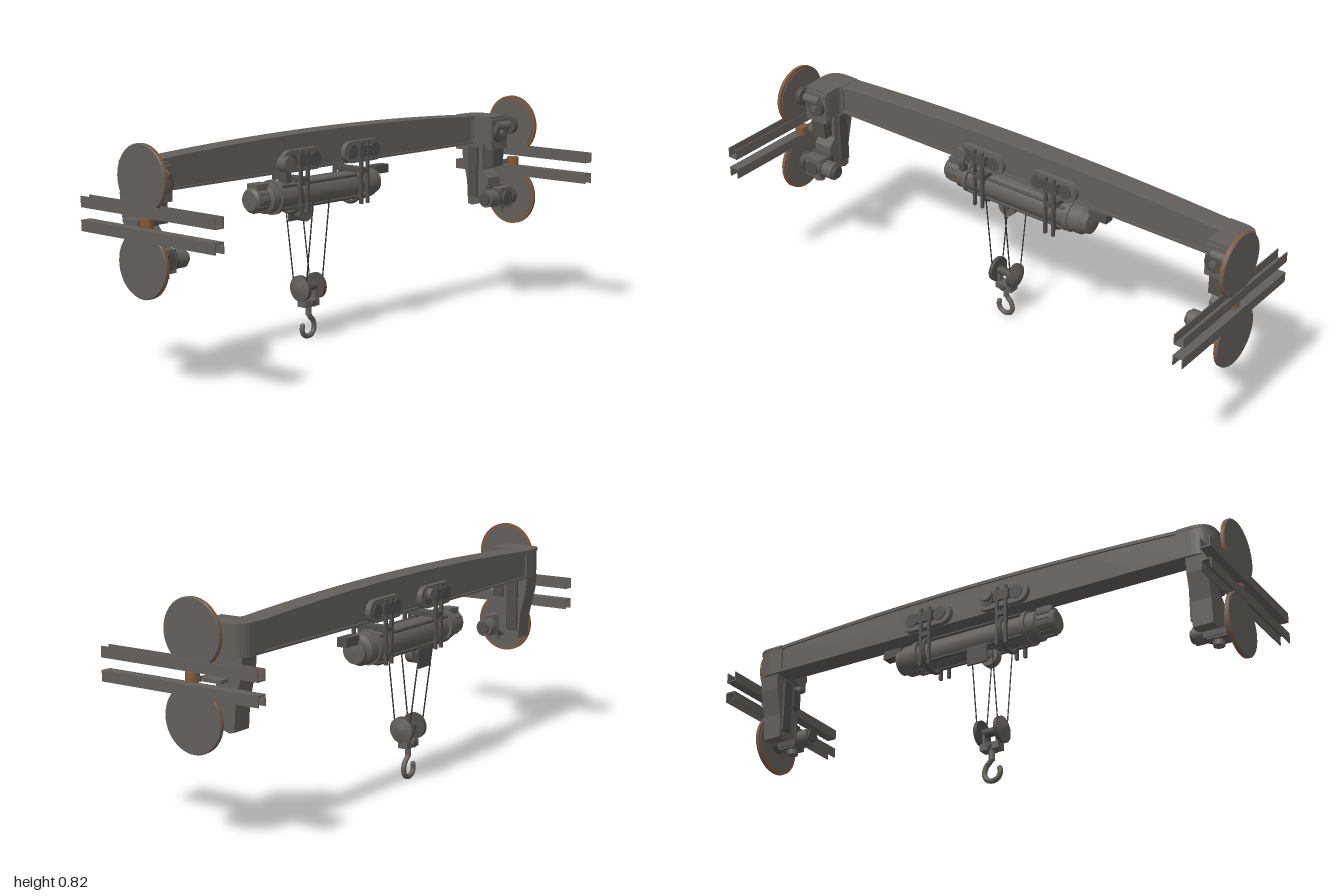
import * as THREE from 'three';

const mat = (name, color, extra = {}) => {
  const m = new THREE.MeshStandardMaterial({ color, ...extra });
  m.name = name;
  return m;
};

export function createModel() {
  const steel = mat('steel grey', 0x625e5a);
  const dark = mat('dark steel', 0x504d4a);
  const brown = mat('worn brown', 0x80583c);
  const black = mat('rope', 0x353433);
  const root = new THREE.Group();
  root.name = 'overheadCrane';

  const add = (parent, name, geo, m, x = 0, y = 0, z = 0) => {
    const mesh = new THREE.Mesh(geo, m);
    mesh.name = name;
    mesh.position.set(x, y, z);
    parent.add(mesh);
    return mesh;
  };
  // box given by its min and max on each axis
  const box = (p, name, m, x0, x1, y0, y1, z0, z1) =>
    add(p, name, new THREE.BoxGeometry(x1 - x0, y1 - y0, z1 - z0), m, (x0 + x1) / 2, (y0 + y1) / 2, (z0 + z1) / 2);
  // cylinder along an axis
  const cyl = (p, name, m, axis, r, len, x, y, z, r2 = r, seg = 28) => {
    const g = new THREE.CylinderGeometry(r2, r, len, seg);
    if (axis === 'x') g.rotateZ(-Math.PI / 2);
    if (axis === 'z') g.rotateX(Math.PI / 2);
    return add(p, name, g, m, x, y, z);
  };
  const extrude = (shape, depth, seg = 12) =>
    new THREE.ExtrudeGeometry(shape, { depth, bevelEnabled: false, curveSegments: seg });
  const group = (name, parent = root) => {
    const g = new THREE.Group();
    g.name = name;
    parent.add(g);
    return g;
  };

  // Arched box girder with flanges
  const arch = x => 0.742 + 0.026 * (1 - (x / 0.84) ** 2);
  const strip = (lowFn, highFn) => {
    const s = new THREE.Shape(), n = 20;
    for (let i = 0; i <= n; i++) {
      const x = -0.84 + 1.68 * i / n;
      i ? s.lineTo(x, lowFn(x)) : s.moveTo(x, lowFn(x));
    }
    for (let i = n; i >= 0; i--) {
      const x = -0.84 + 1.68 * i / n;
      s.lineTo(x, highFn(x));
    }
    return s;
  };
  const girder = group('girder');
  add(girder, 'girderWeb', extrude(strip(() => 0.64, x => arch(x) - 0.01), 0.072), steel, 0, 0, -0.208);
  add(girder, 'topFlange', extrude(strip(x => arch(x) - 0.012, arch), 0.086), steel, 0, 0, -0.215);
  box(girder, 'bottomFlange', steel, -0.84, 0.84, 0.634, 0.642, -0.215, -0.129);

  // Plan of the girder end that turns forward, drawn in x and -z
  const elbow = new THREE.Shape();
  elbow.moveTo(0.83, 0.215);
  elbow.lineTo(0.83, 0.129);
  elbow.quadraticCurveTo(0.84, 0.129, 0.84, 0.11);
  elbow.lineTo(0.84, 0.055);
  elbow.lineTo(0.945, 0.055);
  elbow.lineTo(0.95, 0.15);
  elbow.quadraticCurveTo(0.95, 0.215, 0.885, 0.215);

  // Each end: elbow, wheels, drives, bracket, guide roller and rails
  const endUnit = name => {
    const e = group(name);
    const elbowPart = (n, y, h) => {
      const g = extrude(elbow, h, 8);
      g.rotateX(-Math.PI / 2);
      return add(e, n, g, steel, 0, y, 0);
    };
    elbowPart('girderElbow', 0.634, 0.1);
    elbowPart('elbowCap', 0.734, 0.01).scale.set(1.002, 1, 1.01);

    // tapered bracket down to the lower wheel
    const br = new THREE.Shape();
    br.moveTo(-0.205, 0.64);
    br.lineTo(-0.2, 0.58);
    br.lineTo(-0.176, 0.48);
    br.lineTo(-0.17, 0.39);
    br.lineTo(-0.15, 0.385);
    br.quadraticCurveTo(-0.1, 0.40, -0.07, 0.42);
    br.lineTo(-0.07, 0.50);
    br.lineTo(-0.1, 0.53);
    br.lineTo(-0.1, 0.64);
    const bg = extrude(br, 0.075);
    bg.rotateY(-Math.PI / 2);
    bg.scale(1, 1, 1);
    add(e, 'lowerBracket', bg, steel, 0.93, 0, 0);
    box(e, 'bracketFoot', dark, 0.85, 0.935, 0.39, 0.47, -0.08, -0.055);
    box(e, 'bracketRib', dark, 0.845, 0.855, 0.42, 0.62, -0.165, -0.12);

    for (const [n, y] of [['upper', 0.705], ['lower', 0.424]]) {
      const w = group(n + 'Wheel', e);
      cyl(w, 'wheelTread', brown, 'x', 0.1145, 0.012, 0.972, y, -0.043, 0.1145, 48);
      cyl(w, 'wheelFace', steel, 'x', 0.115, 0.004, 0.979, y, -0.043, 0.112, 48);
      cyl(w, 'wheelInnerFace', steel, 'x', 0.104, 0.004, 0.965, y, -0.043, 0.104, 48);
      cyl(w, 'wheelHub', dark, 'x', 0.035, 0.022, 0.953, y, -0.043);
      cyl(w, 'wheelAxle', steel, 'x', 0.018, 0.09, 0.915, y, -0.043);
    }
    // upper drive housing
    box(e, 'upperGearbox', steel, 0.842, 0.942, 0.615, 0.735, -0.075, -0.045);
    cyl(e, 'upperDriveCover', dark, 'z', 0.036, 0.02, 0.885, 0.68, -0.038);
    cyl(e, 'upperDriveCap', steel, 'z', 0.013, 0.012, 0.885, 0.68, -0.024);
    box(e, 'upperDriveFoot', dark, 0.86, 0.925, 0.545, 0.62, -0.09, -0.05);
    // lower drive motor
    box(e, 'lowerGearbox', steel, 0.86, 0.935, 0.385, 0.465, -0.075, -0.012);
    cyl(e, 'lowerMotor', steel, 'x', 0.033, 0.06, 0.835, 0.424, -0.043);
    cyl(e, 'lowerMotorRing', dark, 'x', 0.038, 0.01, 0.858, 0.424, -0.043);
    cyl(e, 'lowerMotorCap', dark, 'x', 0.024, 0.012, 0.8, 0.424, -0.043);
    cyl(e, 'lowerDriveCover', dark, 'z', 0.028, 0.012, 0.898, 0.424, -0.007);
    cyl(e, 'lowerDrivePlug', steel, 'y', 0.02, 0.02, 0.89, 0.376, -0.043);

    // guide roller running between the rails
    cyl(e, 'guideRoller', brown, 'y', 0.023, 0.033, 0.965, 0.561, -0.033);
    box(e, 'rollerArm', steel, 0.91, 0.968, 0.551, 0.563, -0.15, -0.055);
    box(e, 'rollerPin', dark, 0.958, 0.972, 0.55, 0.566, -0.07, -0.05);

    // channel rails, the upper open upwards and the lower open downwards
    for (const [n, web, y0] of [['upperRail', 0.585, 0.585], ['lowerRail', 0.538, 0.505]]) {
      const r = group(n, e);
      box(r, 'railWeb', steel, 0.961, 1, web, web + 0.005, -0.32, 0.32);
      box(r, 'railInnerWall', steel, 0.961, 0.965, y0, y0 + 0.038, -0.32, 0.32);
      box(r, 'railOuterWall', steel, 0.996, 1, y0, y0 + 0.038, -0.32, 0.32);
    }
    return e;
  };
  endUnit('leftEnd');
  // the same unit turned to the other side by reflection
  endUnit('rightEnd').scale.x = -1;

  // Trolley: an oval frame with two rollers on each face of the girder
  const stadium = (w, h) => {
    const s = new THREE.Shape(), a = w / 2 - h / 2, r = h / 2;
    s.absarc(a, 0, r, -Math.PI / 2, Math.PI / 2);
    s.absarc(-a, 0, r, Math.PI / 2, Math.PI * 1.5);
    s.closePath();
    return s;
  };
  const trolley = group('trolley');
  for (const x of [-0.155, 0.165]) {
    for (const [z, s] of [[-0.13, 1], [-0.215, -1]]) {
      const ring = stadium(0.21, 0.08);
      ring.holes.push(stadium(0.17, 0.042));
      add(trolley, 'ovalFrame', extrude(ring, 0.02), steel, x, 0.675, s > 0 ? z : z - 0.02);
      for (const dx of [-0.06, 0.06])
        cyl(trolley, 'trolleyRoller', dark, 'z', 0.026, 0.024, x + dx, 0.675, z + s * 0.012);
      box(trolley, 'ovalBridge', dark, x - 0.03, x + 0.03, 0.655, 0.695, z + s * 0.017 - 0.012, z + s * 0.017 + 0.012);
      // hanger straps either side of the girder
      for (const dx of [-0.02, 0.015])
        box(trolley, 'hangerStrap', dark, x + dx - 0.005, x + dx + 0.005, 0.48, 0.71, z + s * 0.024 - 0.006, z + s * 0.024 + 0.006);
    }
    box(trolley, 'hangerCrossbar', dark, x - 0.025, x + 0.02, 0.595, 0.612, -0.245, -0.1);
    const collar = new THREE.TorusGeometry(0.064, 0.008, 8, 32);
    collar.rotateY(Math.PI / 2);
    add(trolley, 'hoistCollar', collar, dark, x, 0.542, -0.185);
  }
  cyl(trolley, 'trolleyMotor', steel, 'z', 0.028, 0.04, -0.24, 0.668, -0.115);
  box(trolley, 'trolleyMotorMount', dark, -0.25, -0.225, 0.6, 0.65, -0.13, -0.105);
  cyl(trolley, 'rearTrolleyMotor', steel, 'z', 0.022, 0.03, -0.1, 0.685, -0.24);

  // Hoist: stepped body turned about x
  const hoist = group('hoist');
  const prof = [[0, -0.355], [0.036, -0.355], [0.044, -0.345], [0.044, -0.29], [0.055, -0.285], [0.055, -0.25],
    [0.063, -0.25], [0.063, -0.235], [0.052, -0.235], [0.052, 0.2], [0.062, 0.2], [0.062, 0.22],
    [0.056, 0.22], [0.056, 0.265], [0.045, 0.28], [0.045, 0.295], [0, 0.3]];
  for (let i = 0; i < prof.length - 1; i++) {
    const g = new THREE.LatheGeometry([prof[i], prof[i + 1]].map(p => new THREE.Vector2(p[0], p[1])), 36);
    g.rotateZ(-Math.PI / 2);
    add(hoist, 'hoistBody', g, steel, 0, 0.542, -0.185);
  }
  for (let i = 0; i < 4; i++) { // tie bars along the drum
    const a = Math.PI * (0.25 + i / 2);
    cyl(hoist, 'tieBar', dark, 'x', 0.006, 0.44, -0.015, 0.542 + 0.058 * Math.sin(a), -0.185 + 0.058 * Math.cos(a), 0.006, 10);
  }
  for (let i = 0; i < 12; i++) { // motor cooling ribs
    const rib = box(hoist, 'coolingRib', dark, -0.34, -0.292, 0.584, 0.59, -0.187, -0.183);
    const a = i * Math.PI / 6;
    rib.position.set(-0.316, 0.542 + 0.045 * Math.cos(a), -0.185 + 0.045 * Math.sin(a));
    rib.rotation.x = a;
  }
  box(hoist, 'controlBox', dark, 0.29, 0.365, 0.568, 0.6, -0.205, -0.165);
  box(hoist, 'terminalBox', steel, -0.34, -0.28, 0.575, 0.6, -0.21, -0.16);
  cyl(hoist, 'ropeSheave', steel, 'z', 0.036, 0.03, -0.08, 0.472, -0.185);
  cyl(hoist, 'sheavePin', dark, 'z', 0.013, 0.045, -0.08, 0.472, -0.185);
  box(hoist, 'ropeGuide', dark, -0.1, -0.02, 0.43, 0.5, -0.245, -0.237);

  // Ropes
  const rope = (a, b) => add(root, 'rope',
    new THREE.TubeGeometry(new THREE.LineCurve3(new THREE.Vector3(...a), new THREE.Vector3(...b)), 1, 0.0025, 6), black);
  for (const x of [-0.118, -0.034]) {
    rope([x, 0.52, -0.1], [x, 0.2, -0.138]);
    rope([x, 0.5, -0.24], [x, 0.2, -0.198]);
  }

  // Hook block with two sheaves
  const block = group('hookBlock');
  for (const [x, s] of [[-0.115, -1], [-0.035, 1]]) {
    cyl(block, 'blockSheave', dark, 'x', 0.048, 0.014, x, 0.193, -0.167, 0.048, 36);
    cyl(block, 'sheaveCover', steel, 'x', s > 0 ? 0.046 : 0.008, 0.012, x + s * 0.013, 0.193, -0.167, s > 0 ? 0.008 : 0.046, 36);
  }
  cyl(block, 'blockAxle', dark, 'x', 0.016, 0.08, -0.075, 0.193, -0.167);
  for (const x of [-0.102, -0.048])
    box(block, 'blockCheek', steel, x - 0.004, x + 0.004, 0.13, 0.2, -0.18, -0.154);
  box(block, 'crosshead', steel, -0.112, -0.038, 0.122, 0.147, -0.187, -0.147);
  cyl(block, 'crossheadPin', dark, 'z', 0.011, 0.058, -0.075, 0.135, -0.167);
  cyl(block, 'hookShank', steel, 'y', 0.011, 0.05, -0.075, 0.112, -0.167);

  // Hook: round bar bent open to one side
  const pts = [[-0.075, 0.1], [-0.07, 0.085], [-0.052, 0.065], [-0.046, 0.04], [-0.056, 0.018], [-0.078, 0.01],
    [-0.1, 0.018], [-0.109, 0.036], [-0.107, 0.052]].map(p => new THREE.Vector3(p[0], p[1], -0.167));
  add(block, 'hook', new THREE.TubeGeometry(new THREE.CatmullRomCurve3(pts), 40, 0.0095, 12), steel);
  add(block, 'hookTip', new THREE.SphereGeometry(0.0095, 12, 8), steel, -0.107, 0.052, -0.167);
  return root;
}
